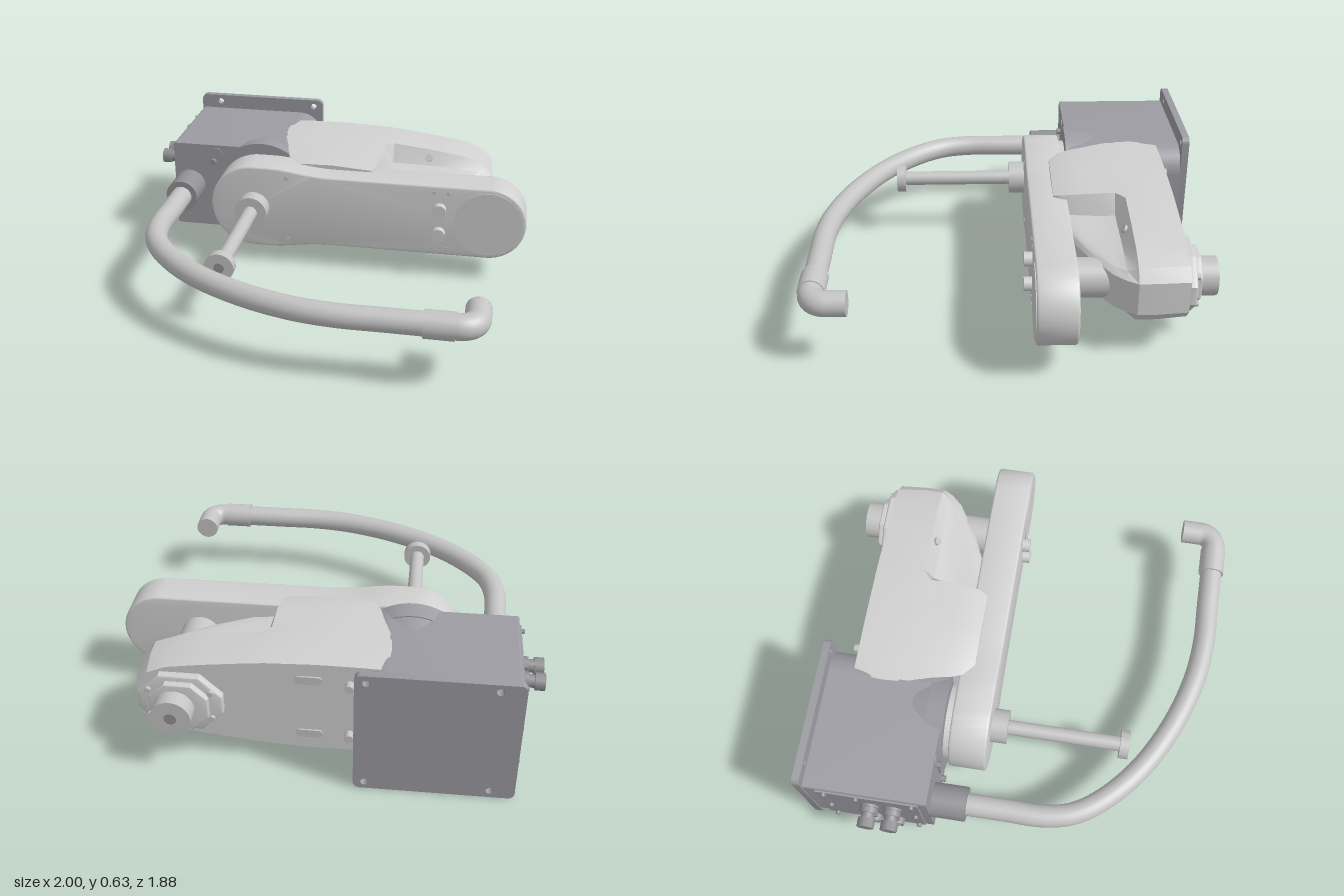
import * as THREE from 'three';
import { toCreasedNormals } from 'three/addons/utils/BufferGeometryUtils.js';

const CY = 0.315; // height of the arm's centre plane

export function createModel() {
  const root = new THREE.Group();
  root.name = 'robotArm';
  const paint = (name, color) => Object.assign(new THREE.MeshStandardMaterial({ color }), { name });
  const light = paint('light grey', 0xd0d0d0);
  const soft = paint('hose grey', 0xc4c4c4);
  const dark = paint('base grey', 0x9c9ba2);
  const metal = paint('connector grey', 0x929296);

  const add = (name, geo, mat) => {
    const mesh = new THREE.Mesh(geo, mat);
    mesh.name = name;
    root.add(mesh);
    return mesh;
  };
  // cylinder along z; r1 is the radius at z1
  const rod = (name, mat, x, y, z0, z1, r, r1 = r, sides = 40) => {
    const g = new THREE.CylinderGeometry(r1, r, z1 - z0, sides).rotateX(Math.PI / 2);
    return add(name, g.translate(x, y, (z0 + z1) / 2), mat);
  };
  // cylinder along x
  const sideRod = (name, mat, x0, x1, y, z, r, sides = 20) => {
    const g = new THREE.CylinderGeometry(r, r, x1 - x0, sides).rotateZ(Math.PI / 2);
    return add(name, g.translate((x0 + x1) / 2, y, z), mat);
  };
  const box = (name, mat, x0, x1, y0, y1, z0, z1) => add(name,
    new THREE.BoxGeometry(x1 - x0, y1 - y0, z1 - z0)
      .translate((x0 + x1) / 2, (y0 + y1) / 2, (z0 + z1) / 2), mat);
  // rounded rectangle with separate left and right corner radii
  const roundRect = (x0, x1, y0, y1, rl, rr) => {
    const s = new THREE.Shape();
    s.absarc(x1 - rr, y0 + rr, rr, -Math.PI / 2, 0);
    s.absarc(x1 - rr, y1 - rr, rr, 0, Math.PI / 2);
    s.absarc(x0 + rl, y1 - rl, rl, Math.PI / 2, Math.PI);
    s.absarc(x0 + rl, y0 + rl, rl, Math.PI, Math.PI * 1.5);
    return s;
  };
  const slab = (name, mat, shape, z0, z1, bevel = 0) => {
    const g = new THREE.ExtrudeGeometry(shape, {
      depth: z1 - z0 - 2 * bevel, curveSegments: 20, bevelEnabled: bevel > 0,
      bevelSize: bevel, bevelThickness: bevel, bevelOffset: -bevel, bevelSegments: 3,
    }).translate(0, 0, z0 + bevel);
    return add(name, toCreasedNormals(g, 0.6), mat);
  };

  // mounting plate with four corner holes
  const plate = roundRect(-0.89, -0.18, 0, 0.627, 0.03, 0.03);
  for (const x of [-0.78, -0.23]) for (const y of [0.037, 0.59]) {
    plate.holes.push(new THREE.Path().absarc(x, y, 0.017, 0, Math.PI * 2, true));
  }
  slab('mountingPlate', dark, plate, -0.943, -0.908);

  // base body and joint flange
  slab('baseBody', dark, roundRect(-0.885, -0.18, 0.078, 0.55, 0.012, 0.13), -0.91, -0.33);
  rod('flangeTaper', dark, -0.4, CY, -0.5, -0.41, 0.232, 0.25, 64);
  rod('jointFlange', dark, -0.4, CY, -0.41, -0.32, 0.255, 0.265, 64);
  rod('jointBearing', light, -0.4, CY, -0.33, -0.28, 0.19, 0.19, 48);
  for (const y of [0.13, 0.5]) rod('frontPlug', dark, -0.65, y, -0.33, -0.325, 0.034);
  for (const x of [-0.82, -0.75]) for (const y of [0.13, 0.5]) {
    rod('frontScrew', metal, x, y, -0.33, -0.325, 0.007, 0.007, 10);
  }
  for (const y of [0.17, 0.46]) rod('stopScrew', metal, -0.665, y, -0.34, -0.305, 0.016, 0.016, 12);

  // side panel with cable glands, sockets and screws
  box('sidePanel', dark, -0.893, -0.88, 0.095, 0.53, -0.85, -0.37);
  for (const z of [-0.61, -0.5]) {
    sideRod('glandFlange', metal, -0.905, -0.885, 0.4, z, 0.045);
    sideRod('glandNut', metal, -0.93, -0.905, 0.4, z, 0.042, 6);
    sideRod('glandNeck', metal, -0.965, -0.93, 0.4, z, 0.03);
    sideRod('glandCap', metal, -1, -0.955, 0.4, z, 0.041, 8);
    sideRod('socket', metal, -0.925, -0.885, 0.18, z, 0.036);
    sideRod('socketCore', dark, -0.928, -0.915, 0.18, z, 0.022);
    sideRod('smallPort', metal, -0.915, -0.885, 0.25, z, 0.022);
  }
  for (const z of [-0.81, -0.66, -0.4]) for (const y of [0.11, 0.3, 0.515]) {
    sideRod('panelScrew', metal, -0.908, -0.885, y, z, 0.012, 10);
  }

  // inner arm housing: sections [z, x stations, half heights] lofted from back to front
  const full = [0.237, 0.241, 0.242, 0.233, 0.225, 0.2, 0.175, 0.135, 0.08];
  const sections = [
    [-0.79, [-0.31, -0.2, 0, 0.22, 0.3, 0.5, 0.66, 0.75, 0.8], full.map(h => h * 0.975)],
    [-0.65, [-0.32, -0.2, 0, 0.22, 0.3, 0.5, 0.66, 0.765, 0.81], full],
    [-0.56, [-0.315, -0.2, 0, 0.23, 0.28, 0.5, 0.66, 0.765, 0.81], full.map(h => h * 0.99)],
    [-0.515, [-0.305, -0.19, 0, 0.23, 0.28, 0.5, 0.63, 0.74, 0.785],
      [0.235, 0.238, 0.239, 0.225, 0.13, 0.125, 0.12, 0.105, 0.08]],
    [-0.46, [-0.29, -0.18, 0, 0.23, 0.27, 0.48, 0.6, 0.69, 0.735],
      [0.233, 0.237, 0.238, 0.223, 0.12, 0.115, 0.11, 0.1, 0.08]],
    [-0.36, [-0.265, -0.17, 0, 0.23, 0.26, 0.38, 0.48, 0.54, 0.575],
      [0.225, 0.232, 0.234, 0.218, 0.12, 0.115, 0.11, 0.1, 0.08]],
    [-0.27, [-0.23, -0.16, 0, 0.22, 0.25, 0.28, 0.32, 0.35, 0.38],
      [0.215, 0.222, 0.224, 0.208, 0.12, 0.115, 0.11, 0.1, 0.08]],
    [-0.225, [-0.19, -0.14, 0, 0.2, 0.215, 0.22, 0.225, 0.23, 0.24],
      [0.205, 0.21, 0.212, 0.197, 0.11, 0.105, 0.1, 0.09, 0.08]],
  ];
  const rings = sections.map(([z, xs, hs]) => [
    ...xs.map((x, i) => new THREE.Vector3(x, CY - hs[i], z)),
    ...xs.map((x, i) => new THREE.Vector3(x, CY + hs[i], z)).reverse(),
  ]);
  const tris = [];
  const n = rings[0].length;
  for (let i = 0; i + 1 < rings.length; i++) for (let j = 0; j < n; j++) {
    const k = (j + 1) % n;
    const [a, b, c, d] = [rings[i][j], rings[i][k], rings[i + 1][k], rings[i + 1][j]];
    tris.push(a, b, c, a, c, d);
  }
  for (const [ring, flip] of [[rings[0], true], [rings.at(-1), false]]) {
    for (const [a, b, c] of THREE.ShapeUtils.triangulateShape(ring.map(p => new THREE.Vector2(p.x, p.y)), [])) {
      tris.push(ring[a], ring[flip ? c : b], ring[flip ? b : c]);
    }
  }
  const loft = new THREE.BufferGeometry().setFromPoints(tris);
  loft.computeVertexNormals();
  add('innerArmHousing', toCreasedNormals(loft, 0.4), light);

  // plugs in the pocket walls
  for (const s of [-1, 1]) {
    add('pocketPlug', new THREE.CylinderGeometry(0.02, 0.02, 0.016, 16)
      .rotateX(s * 1.0).translate(0.47, CY + s * 0.163, -0.533), soft);
  }

  // stepped cover and elbow shaft on the back of the housing
  const cover = (w, h, c) => new THREE.Shape([
    [-w, -h + c], [-w + c, -h], [w - c, -h], [w, -h + c],
    [w, h - c], [w - c, h], [-w + c, h], [-w, h - c],
  ].map(([x, y]) => new THREE.Vector2(x + 0.6, y + CY)));
  slab('elbowCover', light, cover(0.19, 0.145, 0.1), -0.825, -0.78, 0.008);
  slab('elbowCoverStep', light, cover(0.13, 0.12, 0.07), -0.855, -0.815, 0.006);
  rod('elbowCap', soft, 0.62, CY, -0.935, -0.84, 0.09);
  rod('elbowCapHub', metal, 0.62, CY, -0.938, -0.93, 0.028);
  for (const x of [0.46, 0.74]) for (const s of [-1, 1]) {
    rod('coverBolt', soft, x, CY + s * 0.07, -0.84, -0.81, 0.014, 0.014, 12);
  }
  for (const s of [-1, 1]) {
    const y = CY + s * 0.15;
    slab('backSlot', soft, roundRect(-0.03, 0.09, y - 0.02, y + 0.02, 0.018, 0.018), -0.798, -0.78);
    rod('stopPin', soft, -0.15, CY + s * 0.14, -0.83, -0.78, 0.02, 0.02, 16);
  }
  rod('elbowColumn', soft, 0.62, CY, -0.56, -0.28, 0.092);

  // outer arm: wide round end tapering to a narrower one
  const arm = new THREE.Shape();
  arm.absarc(0.81, CY, 0.19, -Math.PI / 2, Math.PI / 2);
  arm.lineTo(0.0, CY + 0.19);
  arm.bezierCurveTo(-0.15, CY + 0.195, -0.2, CY + 0.22, -0.32, CY + 0.222);
  arm.lineTo(-0.4, CY + 0.222);
  arm.absarc(-0.4, CY, 0.222, Math.PI / 2, Math.PI * 1.5);
  arm.lineTo(-0.32, CY - 0.222);
  arm.bezierCurveTo(-0.2, CY - 0.22, -0.15, CY - 0.195, 0.0, CY - 0.19);
  slab('outerArm', light, arm, -0.29, -0.108, 0.01);
  rod('endCover', light, 0.81, CY, -0.12, -0.104, 0.17, 0.17, 56);
  for (const s of [-1, 1]) {
    rod('armPlug', light, 0.565, CY + s * 0.066, -0.12, -0.07, 0.034, 0.034, 24);
    for (const x of [0.535, 0.605]) rod('armScrew', soft, x, CY + s * 0.153, -0.12, -0.105, 0.01, 0.01, 12);
    rod('armScrew', soft, -0.22, CY + s * 0.17, -0.12, -0.105, 0.012, 0.012, 12);
  }

  // tool shaft
  rod('shaftBoss', soft, -0.395, CY, -0.12, -0.03, 0.083);
  rod('toolShaft', soft, -0.395, CY, -0.05, 0.53, 0.036);
  rod('shaftCollar', soft, -0.395, CY, 0.52, 0.565, 0.07);
  rod('shaftTip', metal, -0.395, CY, 0.56, 0.568, 0.025);

  // cable hose with its socket and elbow fitting
  rod('hoseSocket', metal, -0.803, CY, -0.335, -0.165, 0.083);
  const path = new THREE.CatmullRomCurve3([
    [-0.803, -0.2], [-0.803, 0], [-0.803, 0.2], [-0.77, 0.34], [-0.68, 0.475], [-0.5, 0.635],
    [-0.25, 0.77], [0, 0.85], [0.2, 0.876], [0.4, 0.876], [0.62, 0.876],
  ].map(([x, z]) => new THREE.Vector3(x, CY, z)), false, 'centripetal');
  add('hose', new THREE.TubeGeometry(path, 120, 0.054, 24), soft);
  sideRod('hoseFitting', soft, 0.58, 0.715, CY, 0.876, 0.063, 36);
  const P = (x, z) => new THREE.Vector3(x, CY, z);
  const bend = new THREE.CurvePath();
  bend.add(new THREE.LineCurve3(P(0.7, 0.876), P(0.72, 0.876)));
  bend.add(new THREE.CubicBezierCurve3(P(0.72, 0.876), P(0.77, 0.876), P(0.803, 0.845), P(0.803, 0.8)));
  bend.add(new THREE.LineCurve3(P(0.803, 0.8), P(0.803, 0.71)));
  add('hoseElbow', new THREE.TubeGeometry(bend, 32, 0.058, 28), soft);
  rod('elbowEnd', soft, 0.803, CY, 0.708, 0.715, 0.058);

  return root;
}
